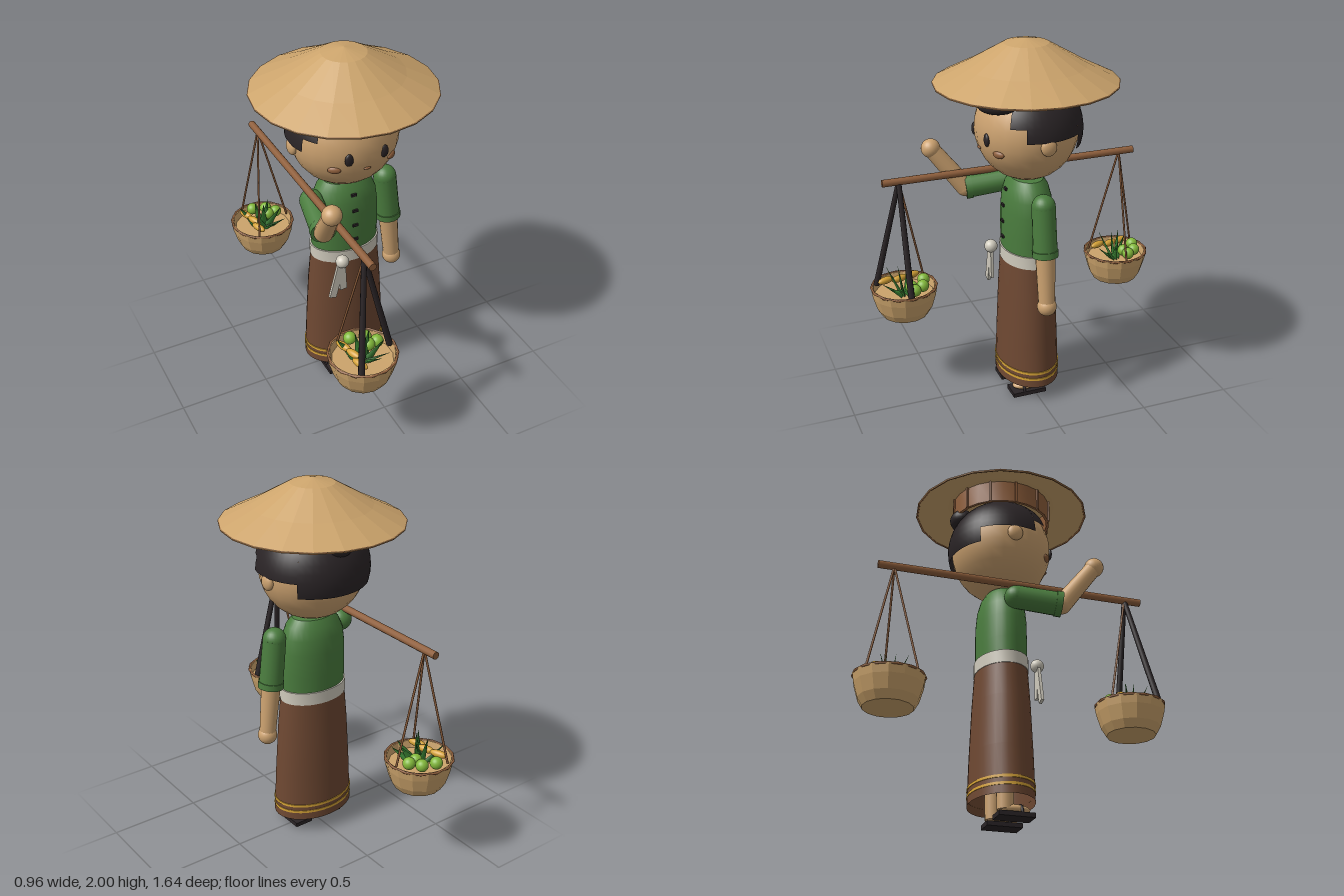
import * as THREE from 'three';
import { toCreasedNormals } from 'three/addons/utils/BufferGeometryUtils.js';

const mat = (name, color, extra = {}) =>
  Object.assign(new THREE.MeshStandardMaterial({ color, ...extra }), { name });
const DS = { side: THREE.DoubleSide };
const M = {
  straw: mat('straw', 0xcca46c, { flatShading: true }),
  skin: mat('skin', 0xcca270),
  black: mat('black', 0x2a2426, DS),
  shirt: mat('shirt green', 0x4a7c3e),
  skirt: mat('skirt brown', 0x6e4832, DS),
  linen: mat('linen white', 0xcfcabc),
  wood: mat('wood brown', 0x8f5f3c),
  gold: mat('corn gold', 0xd3a136),
  leaf: mat('leaf green', 0x3a8234, DS),
  lime: mat('lime green', 0x82b83a),
};
const V = (x, y, z) => new THREE.Vector3(x, y, z);

function add(parent, name, geo, material, x = 0, y = 0, z = 0) {
  const m = new THREE.Mesh(geo, material);
  m.name = name;
  m.position.set(x, y, z);
  parent.add(m);
  return m;
}
function ball(parent, name, material, p, rx, ry = rx, rz = rx) {
  const m = add(parent, name, new THREE.SphereGeometry(1, 24, 16), material, ...p);
  m.scale.set(rx, ry, rz);
  return m;
}
function box(parent, name, material, p, w, h, d) {
  return add(parent, name, new THREE.BoxGeometry(w, h, d), material, ...p);
}
// Tapered rod from point a (radius ra) to point b (radius rb)
function rod(parent, name, material, a, b, ra, rb = ra, sides = 16) {
  const dir = b.clone().sub(a);
  const m = add(parent, name, new THREE.CylinderGeometry(rb, ra, dir.length(), sides), material);
  m.position.copy(a).addScaledVector(dir, 0.5);
  m.quaternion.setFromUnitVectors(V(0, 1, 0), dir.normalize());
  return m;
}
// Turned part from [radius, height] pairs, optionally squashed front to back
function turned(parent, name, material, pts, sides = 32, depth = 1) {
  const geo = new THREE.LatheGeometry(pts.map(p => new THREE.Vector2(...p)), sides);
  const m = add(parent, name, toCreasedNormals(geo, 0.6), material);
  m.scale.z = depth;
  return m;
}

function buildHat(root) {
  const hat = new THREE.Group();
  hat.name = 'hat';
  root.add(hat);
  turned(hat, 'hatCone', M.straw, [[0, 1.845], [0.3, 1.835], [0.478, 1.768], [0.48, 1.776],
    [0.31, 1.862], [0.116, 1.974], [0, 2]], 20);
  const rim = add(hat, 'hatRim', new THREE.TorusGeometry(0.474, 0.006, 6, 20), M.wood, 0, 1.773, 0);
  rim.rotation.x = Math.PI / 2;
  turned(hat, 'hatBand', M.wood, [[0.255, 1.84], [0.255, 1.715], [0.27, 1.715], [0.27, 1.84]], 24);
  for (let i = 0; i < 12; i++) {
    const a = i * Math.PI / 6;
    box(hat, 'hatRib', M.wood, [0.272 * Math.sin(a), 1.777, 0.272 * Math.cos(a)], 0.012, 0.13, 0.012)
      .rotation.y = a;
  }
}

function buildHead(root) {
  const head = new THREE.Group();
  head.name = 'head';
  root.add(head);
  ball(head, 'skull', M.skin, [0, 1.535, 0], 0.287, 0.28, 0.27);
  for (const s of [-1, 1]) {
    ball(head, 'ear', M.skin, [s * 0.288, 1.51, -0.01], 0.024, 0.045, 0.042);
    ball(head, 'eye', M.black, [s * 0.097, 1.52, 0.25], 0.024, 0.035, 0.014);
    const cheek = ball(head, 'cheek', M.wood, [s * 0.16, 1.457, 0.21], 0.034, 0.019, 0.014);
    cheek.rotation.y = s * 0.6;
  }
  ball(head, 'mouth', M.wood, [0, 1.452, 0.258], 0.02, 0.007, 0.008);
  // Stepped hair shell: [from azimuth, to azimuth, lower edge height]
  const deg = Math.PI / 180;
  const hair = [[0, 360, 1.73], [52, 69, 1.61], [69, 130, 1.54], [130, 230, 1.46],
    [230, 291, 1.54], [291, 308, 1.61]];
  for (const [a, b, y] of hair) {
    const geo = new THREE.SphereGeometry(1, Math.ceil((b - a) / 8), 12,
      (a + 90) * deg, (b - a) * deg, 0, Math.acos((y - 1.535) / 0.285));
    add(head, 'hair', geo, M.black, 0, 1.535, 0).scale.set(0.305, 0.285, 0.293);
  }
  ball(head, 'fringe', M.black, [0.11, 1.695, 0.2], 0.145, 0.042, 0.06).rotation.set(0, 0.3, 0.2);
  ball(head, 'bun', M.black, [0, 1.705, -0.225], 0.075, 0.058, 0.068);
}

function buildBody(root) {
  const body = new THREE.Group();
  body.name = 'body';
  root.add(body);
  turned(body, 'shirt', M.shirt, [[0.187, 0.84], [0.19, 0.95], [0.188, 1.08], [0.178, 1.16],
    [0.155, 1.22], [0.12, 1.26], [0, 1.275]], 32, 0.7);
  turned(body, 'sash', M.linen, [[0, 0.795], [0.196, 0.795], [0.196, 0.865], [0, 0.865]], 32, 0.71);
  turned(body, 'skirt', M.skirt, [[0.235, 0.09], [0.224, 0.35], [0.208, 0.62], [0.192, 0.8]], 32, 0.71);
  for (const y of [0.14, 0.177]) {
    turned(body, 'hemStripe', M.gold, [[0.232, y - 0.007], [0.237, y - 0.007], [0.236, y + 0.007],
      [0.23, y + 0.007]], 32, 0.71);
  }
  for (const [y, z] of [[1.2, 0.115], [1.11, 0.13], [1.02, 0.133], [0.93, 0.134]]) {
    box(body, 'button', M.black, [0, y, z], 0.03, 0.015, 0.014);
  }
  // Knotted end of the sash
  ball(body, 'sashKnot', M.linen, [-0.095, 0.835, 0.17], 0.036);
  for (const [x, h, tilt] of [[-0.128, 0.22, -0.24], [-0.095, 0.18, 0.05]]) {
    box(body, 'sashTail', M.linen, [x, 0.83 - h / 2, 0.17], 0.04, h, 0.016).rotation.z = tilt;
  }
  // Legs and sandals
  for (const s of [-1, 1]) {
    const x = s * 0.1;
    rod(body, 'leg', M.skin, V(x, 0.04, -0.01), V(x, 0.35, -0.01), 0.042, 0.05);
    ball(body, 'foot', M.skin, [x, 0.045, 0.035], 0.045, 0.026, 0.085);
    box(body, 'sandalSole', M.black, [x, 0.012, 0.037], 0.108, 0.024, 0.19);
    const strap = add(body, 'sandalStrap', new THREE.TorusGeometry(0.046, 0.008, 8, 16, Math.PI),
      M.black, x, 0.024, 0.065);
    strap.scale.y = 0.95;
  }
}

// Arm along shoulder, elbow and hand
function buildArm(root, name, shoulder, elbow, hand) {
  const arm = new THREE.Group();
  arm.name = name;
  root.add(arm);
  const dir = elbow.clone().sub(shoulder).normalize();
  ball(arm, 'shoulder', M.shirt, shoulder.toArray(), 0.062);
  rod(arm, 'sleeve', M.shirt, shoulder, elbow, 0.062, 0.065);
  rod(arm, 'cuff', M.shirt, elbow.clone().addScaledVector(dir, -0.035), elbow, 0.069);
  ball(arm, 'elbow', M.skin, elbow.toArray(), 0.052);
  rod(arm, 'forearm', M.skin, elbow, hand, 0.052, 0.044);
  ball(arm, 'hand', M.skin, hand.toArray(), 0.052);
}

// Basket hung from the pole; darkStraps makes two of its ropes broad and black
function buildBasket(root, z, darkStraps) {
  const g = new THREE.Group();
  g.name = darkStraps ? 'frontBasket' : 'backBasket';
  g.position.set(-0.215, 0, z);
  root.add(g);
  turned(g, 'bowl', M.straw, [[0, 0.457], [0.128, 0.457], [0.153, 0.5], [0.175, 0.575], [0.183, 0.622],
    [0.17, 0.622], [0.16, 0.58], [0, 0.575]], 14).material = M.straw;
  const rim = add(g, 'basketRim', new THREE.TorusGeometry(0.179, 0.007, 6, 14), M.wood, 0, 0.62, 0);
  rim.rotation.x = Math.PI / 2;
  for (let i = 0; i < 3; i++) {
    const a = i * Math.PI * 2 / 3;
    const foot = V(0.155 * Math.cos(a), 0.615, 0.155 * Math.sin(a));
    const broad = darkStraps && i < 2;
    rod(g, broad ? 'strap' : 'rope', broad ? M.black : M.wood, foot, V(0, 1.235, 0),
      broad ? 0.018 : 0.006, broad ? 0.014 : 0.006, 8);
  }
  // Fruit and greens
  for (const [x, zz] of [[-0.015, -0.115], [0.06, -0.09], [0.1, -0.035], [0.05, -0.03]]) {
    ball(g, 'lime', M.lime, [x, 0.632, zz], 0.034);
  }
  for (const [x, zz] of [[-0.075, -0.065], [-0.055, 0.01], [-0.06, 0.085]]) {
    ball(g, 'corn', M.gold, [x, 0.64, zz], 0.02, 0.02, 0.05).rotation.y = 0.35;
  }
  const tips = [[-0.11, 0.69, -0.07], [0.1, 0.66, 0.1], [0.04, 0.67, 0.13], [-0.06, 0.72, 0.08],
    [0, 0.745, 0.03], [0.05, 0.73, -0.03], [-0.03, 0.73, -0.03], [0.1, 0.7, 0.04]];
  for (const [x, y, zz] of tips) {
    const blade = rod(g, 'leaf', M.leaf, V(x * 0.25, 0.58, zz * 0.25), V(x, y, zz), 0.03, 0.001, 4);
    blade.scale.z = 0.3;
  }
}

export function createModel() {
  const root = new THREE.Group();
  root.name = 'basketCarrier';
  buildHat(root);
  buildHead(root);
  buildBody(root);
  buildArm(root, 'leftArm', V(0.245, 1.18, 0), V(0.273, 0.91, 0), V(0.3, 0.63, 0));
  buildArm(root, 'rightArm', V(-0.2, 1.17, 0.02), V(-0.245, 1.14, 0.26), V(-0.285, 1.37, 0.435));
  rod(root, 'carryingPole', M.wood, V(-0.215, 1.235, -0.725), V(-0.215, 1.235, 0.725), 0.02, 0.02, 12);
  buildBasket(root, 0.635, true);
  buildBasket(root, -0.64, false);
  return root;
}
